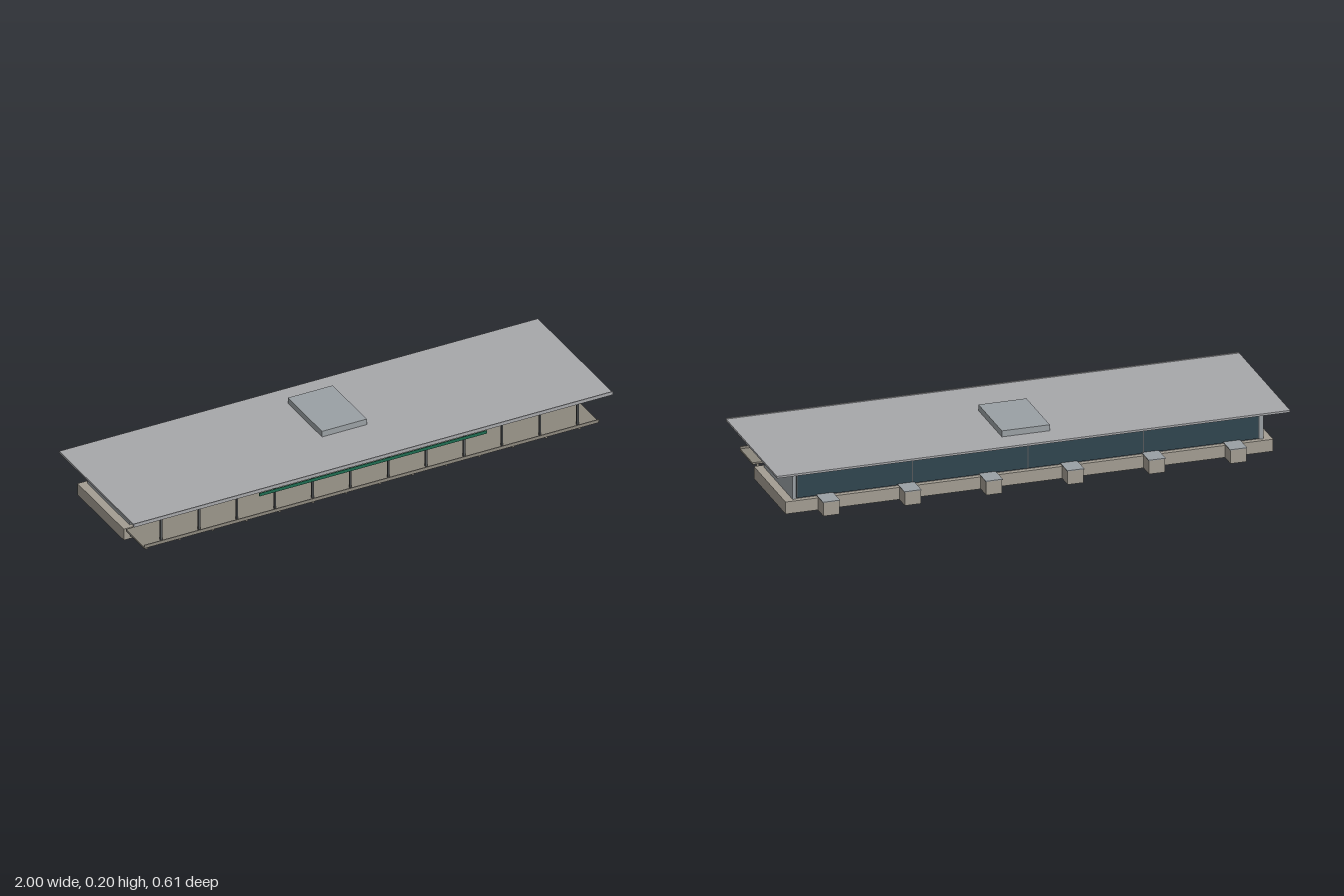
import * as THREE from 'three';

const mat = (color) => new THREE.MeshStandardMaterial({ color });
const concrete = mat(0xa39d92);
const slab = mat(0x8c877d);
const wall = mat(0x9aa0a4);
const roofGrey = mat(0xa6a7aa);
const glass = mat(0x2f444e);
const steel = mat(0x55585a);
const green = mat(0x1d6b50);

export function createModel() {
  const model = new THREE.Group();

  // Box given by its extents on each axis
  function box(name, material, [x0, x1], [y0, y1], [z0, z1]) {
    const mesh = new THREE.Mesh(new THREE.BoxGeometry(x1 - x0, y1 - y0, z1 - z0), material);
    mesh.position.set((x0 + x1) / 2, (y0 + y1) / 2, (z0 + z1) / 2);
    mesh.name = name;
    model.add(mesh);
  }

  // Evenly spaced boxes along x, from -reach to +reach
  function row(name, material, count, reach, width, ys, zs) {
    for (let i = 0; i < count; i++) {
      const x = -reach + (2 * reach * i) / (count - 1);
      box(name, material, [x - width / 2, x + width / 2], ys, zs);
    }
  }

  // Plinth with basement windows
  box('plinth', concrete, [-0.95, 0.95], [0, 0.048], [-0.238, 0.127]);
  row('basementWindow', glass, 17, 0.887, 0.072, [0.008, 0.039], [0.12, 0.1285]);

  // Upper storey: core, end walls and glazing on both long sides
  box('storeyCore', wall, [-0.905, 0.905], [0.048, 0.16], [-0.218, 0.106]);
  for (const s of [-1, 1]) {
    const xs = s < 0 ? [-0.917, -0.903] : [0.903, 0.917];
    box('endWall', wall, xs, [0.048, 0.16], [-0.222, 0.11]);
  }
  box('frontGlazing', glass, [-0.9, 0.9], [0.05, 0.158], [0.1, 0.109]);
  box('backGlazing', glass, [-0.9, 0.9], [0.052, 0.156], [-0.2235, -0.21]);
  row('frontMullion', steel, 13, 0.9, 0.004, [0.05, 0.158], [0.105, 0.1105]);
  row('backMullion', steel, 5, 0.9, 0.004, [0.052, 0.156], [-0.2245, -0.215]);

  // Blocks with caps along the back
  row('backBlock', concrete, 6, 0.793, 0.062, [0, 0.054], [-0.302, -0.238]);
  row('backBlockCap', wall, 6, 0.793, 0.066, [0.0535, 0.0565], [-0.304, -0.222]);

  // Front terrace on short posts, with a lip along the edge
  box('terrace', slab, [-0.95, 0.95], [0.049, 0.056], [0.143, 0.285]);
  box('terraceLip', slab, [-0.95, 0.95], [0.056, 0.065], [0.285, 0.289]);
  row('terracePost', slab, 14, 0.905, 0.01, [0, 0.049], [0.213, 0.222]);

  // Slim columns carrying the roof edge
  row('column', steel, 12, 0.87, 0.007, [0.056, 0.169], [0.266, 0.274]);

  // Roof with front fascia, sign strip and rooftop plant room
  box('roof', roofGrey, [-1, 1], [0.168, 0.176], [-0.287, 0.3]);
  box('fascia', roofGrey, [-1, 1], [0.165, 0.179], [0.299, 0.303]);
  box('greenStrip', green, [-0.477, 0.473], [0.15, 0.163], [0.302, 0.305]);
  box('plantRoom', wall, [-0.096, 0.091], [0.175, 0.2], [-0.19, 0.079]);

  return model;
}
